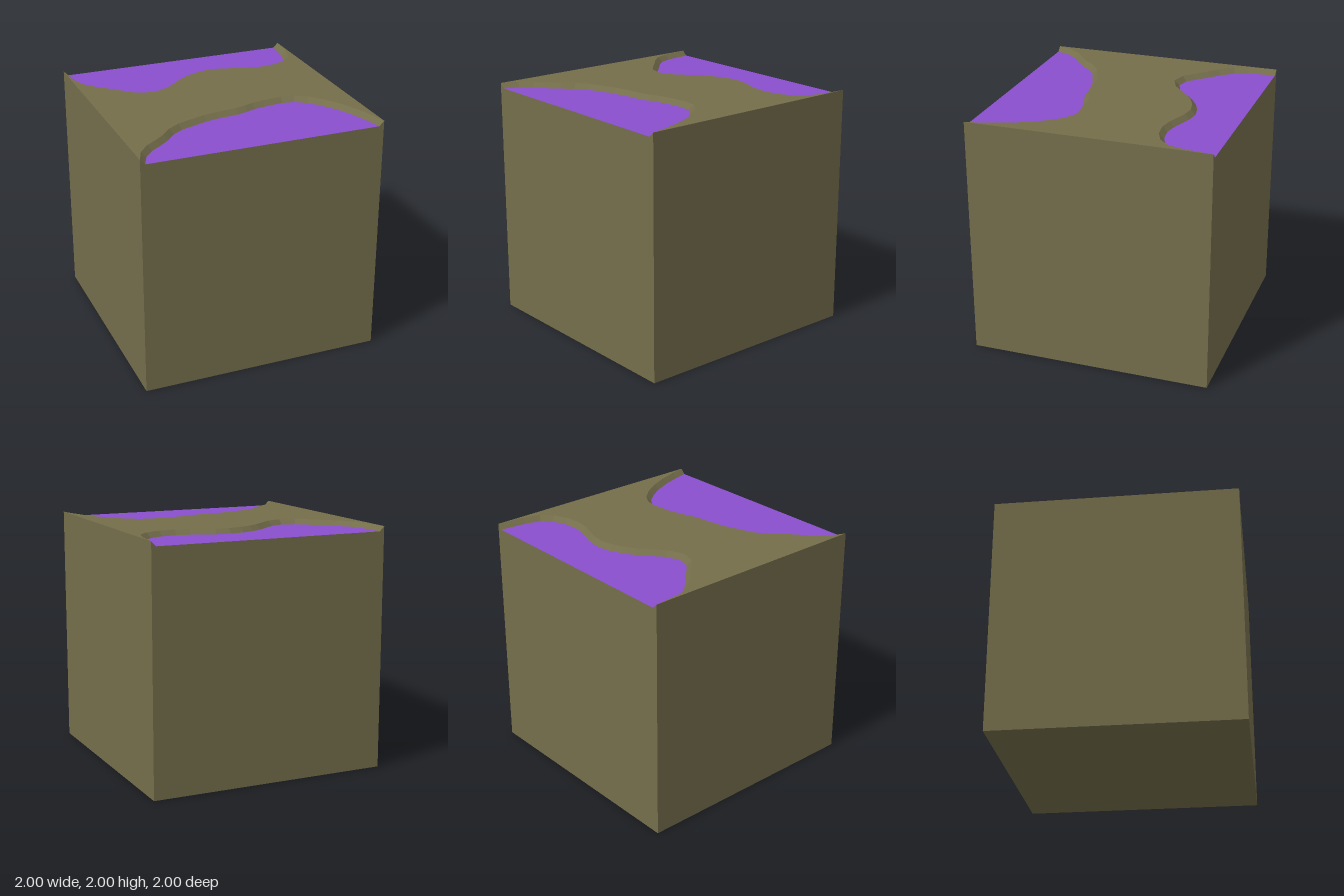
import * as THREE from 'three';

const TOP = 2, LOW = 1.96, BANK = 0.04;

// Shorelines as [x, z], running from -x to +x
const BACK_SHORE = [
  [-1, -1], [-0.975, -0.76], [-0.93, -0.64], [-0.84, -0.53], [-0.76, -0.46], [-0.66, -0.36],
  [-0.58, -0.29], [-0.45, -0.255], [-0.32, -0.305], [-0.21, -0.395], [-0.13, -0.465], [-0.04, -0.52],
  [0.06, -0.56], [0.17, -0.58], [0.28, -0.565], [0.37, -0.535], [0.47, -0.5], [0.59, -0.48],
  [0.73, -0.495], [0.85, -0.545], [0.935, -0.63], [0.975, -0.77], [1, -1],
];
const FRONT_SHORE = [
  [-1, 1], [-0.945, 0.86], [-0.86, 0.76], [-0.76, 0.685], [-0.68, 0.615], [-0.6, 0.525],
  [-0.5, 0.455], [-0.39, 0.415], [-0.26, 0.37], [-0.14, 0.345], [0.03, 0.325], [0.12, 0.3],
  [0.2, 0.27], [0.3, 0.25], [0.47, 0.23], [0.58, 0.25], [0.68, 0.315], [0.77, 0.42],
  [0.85, 0.55], [0.915, 0.7], [0.97, 0.87], [1, 1],
];

// Moves a shoreline into its pool by the bank width (side: -1 back, +1 front)
function inset(shore, side) {
  return shore.map(([x, z], i) => {
    if (i === 0 || i === shore.length - 1) return [x * (1 - BANK), z];
    const p = new THREE.Vector2(x, z);
    const a = p.clone().sub(new THREE.Vector2(...shore[i - 1])).normalize();
    const b = new THREE.Vector2(...shore[i + 1]).sub(p).normalize();
    const t = a.clone().add(b).normalize();
    const d = (side * BANK) / t.dot(a);
    return [x - t.y * d, z + t.x * d];
  });
}

// Level surface with an [x, z] outline
function level(points, y) {
  const shape = new THREE.Shape(points.map(([x, z]) => new THREE.Vector2(x, -z)));
  return new THREE.ShapeGeometry(shape).rotateX(-Math.PI / 2).translate(0, y, 0);
}

// Sloped strip from the shoreline down to the pool edge
function bankStrip(outer, inner, side) {
  const pos = [];
  for (let i = 0; i < outer.length - 1; i++) {
    const a = [outer[i][0], TOP, outer[i][1]], b = [outer[i + 1][0], TOP, outer[i + 1][1]];
    const c = [inner[i][0], LOW, inner[i][1]], d = [inner[i + 1][0], LOW, inner[i + 1][1]];
    const tris = side < 0 ? [a, b, c, b, d, c] : [a, c, b, b, c, d];
    pos.push(...tris.flat());
  }
  const g = new THREE.BufferGeometry();
  g.setAttribute('position', new THREE.Float32BufferAttribute(pos, 3));
  g.computeVertexNormals();
  return g;
}

export function createModel() {
  const earth = new THREE.MeshStandardMaterial({ color: 0x746e4b });
  earth.name = 'olive earth';
  const liquid = new THREE.MeshStandardMaterial({ color: 0x8b4fce });
  liquid.name = 'purple liquid';

  const group = new THREE.Group();
  group.name = 'terrainBlock';
  const add = (name, geometry, material) => {
    const mesh = new THREE.Mesh(geometry, material);
    mesh.name = name;
    group.add(mesh);
  };

  // Front and back walls, notched at the top by the pools
  const notched = new THREE.Shape([
    [-1, 0], [1, 0], [1, TOP], [1 - BANK, LOW], [BANK - 1, LOW], [-1, TOP],
  ].map(p => new THREE.Vector2(...p)));
  add('frontWall', new THREE.ShapeGeometry(notched).translate(0, 0, 1), earth);
  add('backWall', new THREE.ShapeGeometry(notched).translate(0, 0, 1).rotateY(Math.PI), earth);

  // Full side walls and underside
  for (const [name, s] of [['leftWall', 1], ['rightWall', -1]]) {
    add(name, new THREE.PlaneGeometry(2, 2).translate(0, 1, 1).rotateY(s * Math.PI / 2), earth);
  }
  add('underside', new THREE.PlaneGeometry(2, 2).rotateX(Math.PI / 2), earth);

  // Raised land between the two shorelines
  add('land', level([...BACK_SHORE, ...[...FRONT_SHORE].reverse()], TOP), earth);

  // Pools with sloped banks
  for (const [name, shore, side] of [['back', BACK_SHORE, -1], ['front', FRONT_SHORE, 1]]) {
    const edge = inset(shore, side);
    add(name + 'Bank', bankStrip(shore, edge, side), earth);
    add(name + 'Pool', level(edge, LOW), liquid);
  }
  return group;
}
